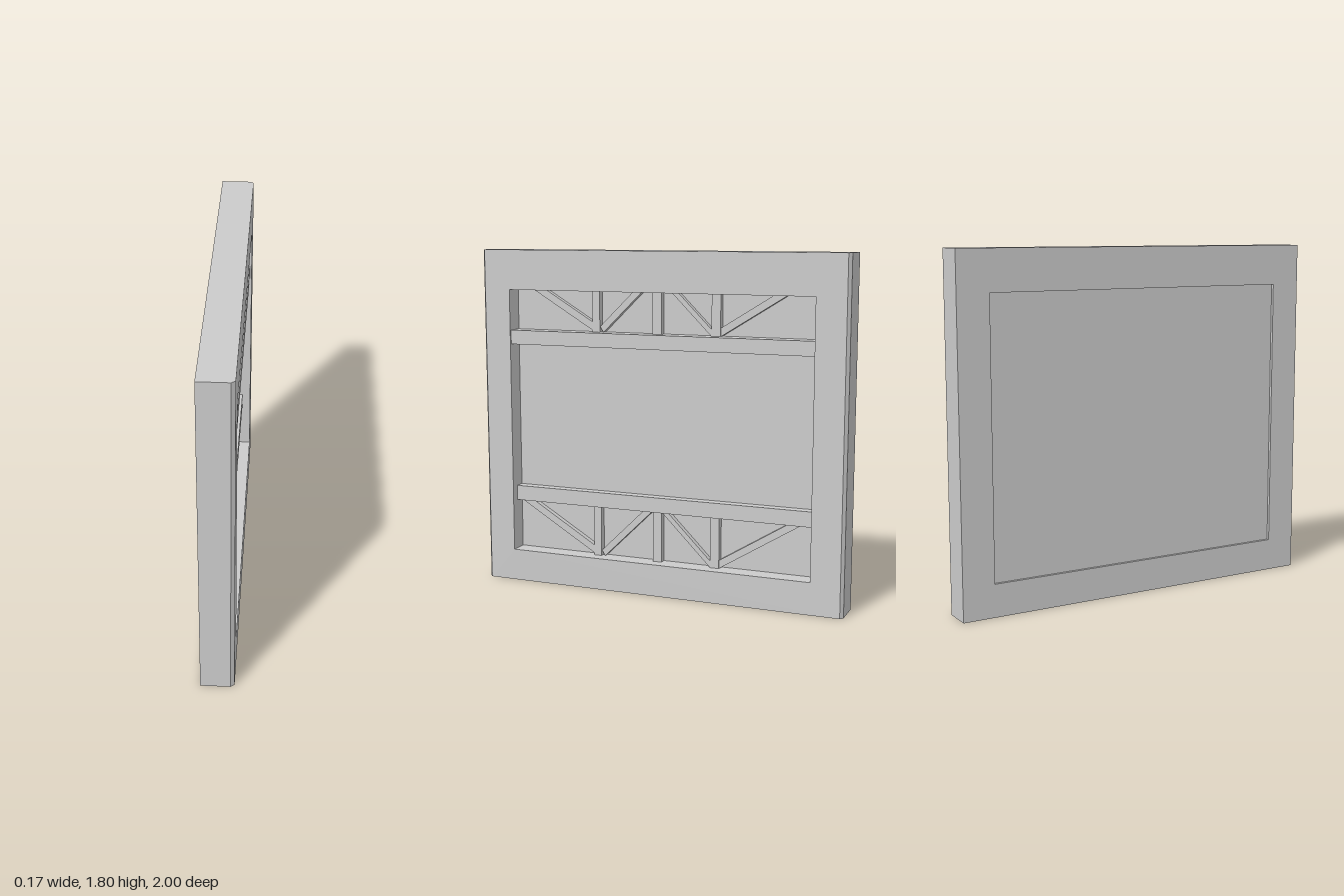
import * as THREE from 'three';

const material = new THREE.MeshStandardMaterial({ color: 0xcccccc, flatShading: true });

// Outline drawn in (z, y), extruded along x between xBack and xFront
function slab(points, xBack, xFront, hole, steps = 1) {
  const toVectors = (list) => list.map(([z, y]) => new THREE.Vector2(z, y));
  const shape = new THREE.Shape(toVectors(points));
  if (hole) shape.holes.push(new THREE.Path(toVectors(hole)));
  const geometry = new THREE.ExtrudeGeometry(shape, { depth: xFront - xBack, bevelEnabled: false, steps });
  geometry.rotateY(-Math.PI / 2);
  geometry.translate(xFront, 0, 0);
  return geometry;
}

const rect = (z0, z1, y0, y1) => [[z0, y0], [z1, y0], [z1, y1], [z0, y1]];

export function createModel() {
  const group = new THREE.Group();
  const add = (name, geometry, parent = group) => {
    const mesh = new THREE.Mesh(geometry, material);
    mesh.name = name;
    parent.add(mesh);
  };

  const zMin = -0.83, zMax = 0.84, yMin = 0.17, yMax = 1.59;
  const panelFront = -0.013;

  // Surrounding frame, with its two upright front edges chamfered
  const frame = slab(rect(-1, 1, 0, 1.8), -0.085, 0.085, rect(zMin, zMax, yMin, yMax), 9);
  const pos = frame.attributes.position;
  for (let i = 0; i < pos.count; i++) {
    if (pos.getX(i) > 0.08 && Math.abs(pos.getZ(i)) > 0.99) pos.setZ(i, Math.sign(pos.getZ(i)) * 0.985);
  }
  frame.computeVertexNormals();
  add('frame', frame);

  // Panel closing the opening, set in slightly from the back
  add('backPanel', slab(rect(zMin, zMax, yMin, yMax), -0.07, panelFront));

  // Horizontal beams
  add('upperBeam', slab(rect(zMin, zMax, 1.3, 1.375), panelFront, 0.075));
  add('lowerBeam', slab(rect(-0.825, zMax, 0.44, 0.52), panelFront, 0.04));

  // Posts as z ranges; braces as post side, foot, sideways slope and height on the post
  const posts = [[0.342, 0.385], [-0.005, 0.043], [-0.326, -0.278]];
  const braces = [
    [0.385, 0.37, 1.67, 0.053],
    [0.342, 0.323, -1.02, 0.03],
    [-0.278, -0.275, 1.0, 0.033],
    [-0.326, -0.326, -1.62, 0.043],
  ];

  function truss(name, y0, y1) {
    const part = new THREE.Group();
    part.name = name;
    const h = y1 - y0;
    for (const [a, b] of posts) add('post', slab(rect(a, b, y0, y1), panelFront, 0.022), part);
    for (const [side, foot, slope, rise] of braces) {
      const outline = [
        [foot, y0], [foot + slope * h, y1],
        [side + slope * (h - rise), y1], [side, y0 + rise],
      ];
      add('brace', slab(outline, panelFront, 0.018), part);
    }
    group.add(part);
  }
  truss('upperTruss', 1.375, yMax);
  truss('lowerTruss', yMin, 0.44);

  return group;
}
